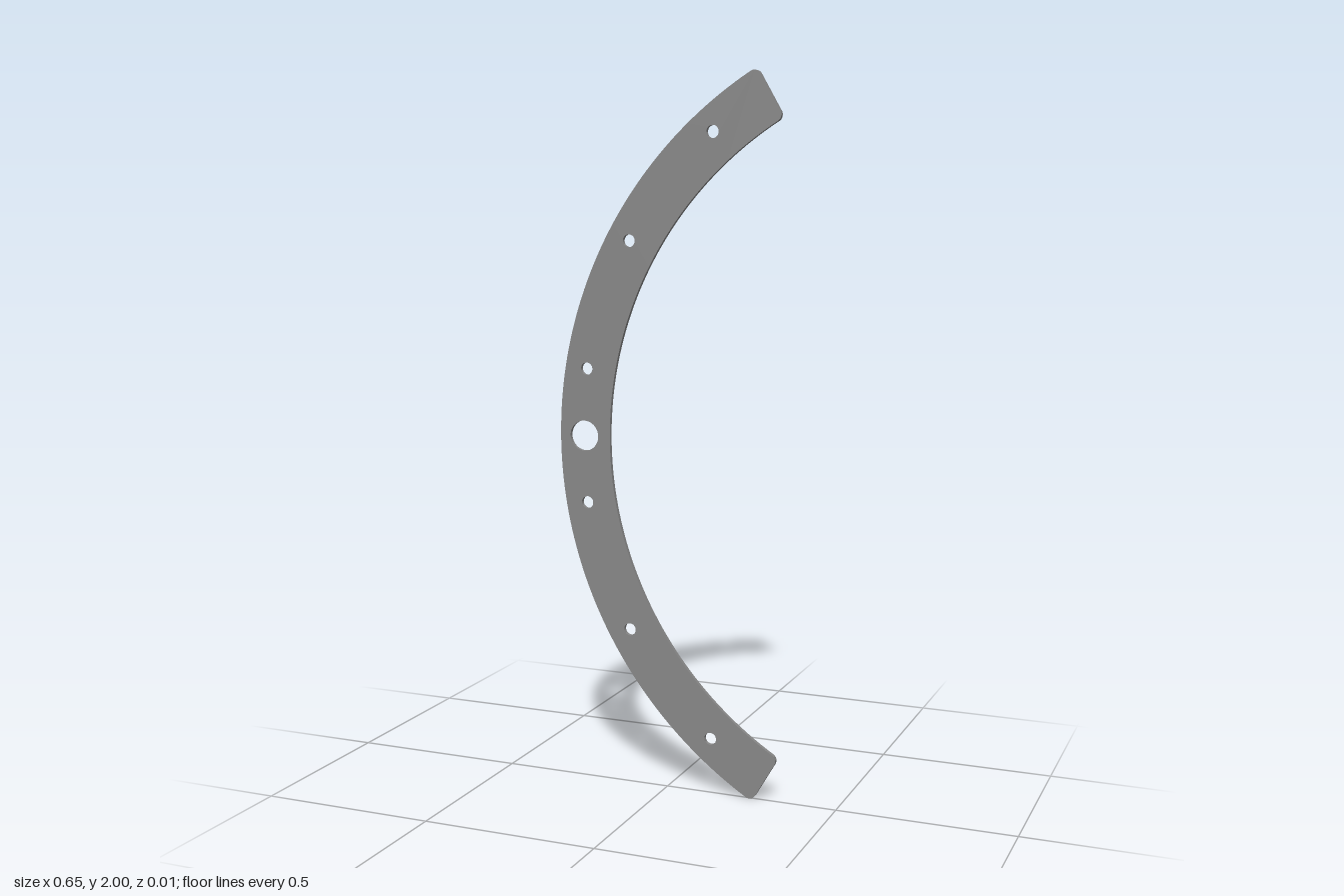
import * as THREE from 'three';
import { toCreasedNormals } from 'three/addons/utils/BufferGeometryUtils.js';

const OUTER = 1.163, INNER = 1.011;   // arc radii
const CX = 0.838, CY = 1;             // arc centre
const HALF = Math.PI / 3;             // half sweep of the arc
const FILLET = 0.02;                  // corner rounding
const THICK = 0.012;

// Point at a radius and angle around the arc centre
const polar = (r, a) => [CX + r * Math.cos(a), CY + r * Math.sin(a)];

function bracketShape() {
  const PI = Math.PI;
  const ro = OUTER - FILLET, ri = INNER + FILLET;
  const ao = HALF - Math.asin(FILLET / ro);
  const ai = HALF - Math.asin(FILLET / ri);
  const lowEnd = PI + HALF + PI / 2, highEnd = PI / 2 - HALF;
  const s = new THREE.Shape();
  s.absarc(CX, CY, OUTER, PI - ao, PI + ao, false);
  // lower end corners
  s.absarc(...polar(ro, PI + ao), FILLET, PI + ao, lowEnd, false);
  s.absarc(...polar(ri, PI + ai), FILLET, lowEnd, 2 * PI + ai, false);
  s.absarc(CX, CY, INNER, PI + ai, PI - ai, true);
  // upper end corners
  s.absarc(...polar(ri, PI - ai), FILLET, -ai, highEnd, false);
  s.absarc(...polar(ro, PI - ao), FILLET, highEnd, PI - ao, false);
  s.closePath();

  const addHole = (r, angle, size) => {
    const hole = new THREE.Path();
    hole.absarc(...polar(r, angle), size, 0, 2 * PI, true);
    s.holes.push(hole);
  };
  // large central hole and three mirrored pairs of screw holes
  addHole(1.09, PI, 0.043);
  for (const deg of [10, 30, 50])
    for (const side of [-1, 1])
      addHole(1.098, PI + side * THREE.MathUtils.degToRad(deg), 0.0175);
  return s;
}

export function createModel() {
  const group = new THREE.Group();
  group.name = 'curvedBracket';
  let geometry = new THREE.ExtrudeGeometry(bracketShape(), {
    depth: THICK, bevelEnabled: false, curveSegments: 48,
  });
  geometry.translate(0, 0, -THICK / 2);
  geometry = toCreasedNormals(geometry, Math.PI / 6);
  const plate = new THREE.Mesh(geometry, new THREE.MeshStandardMaterial({ color: 0x888888 }));
  plate.name = 'arcPlate';
  group.add(plate);
  return group;
}
